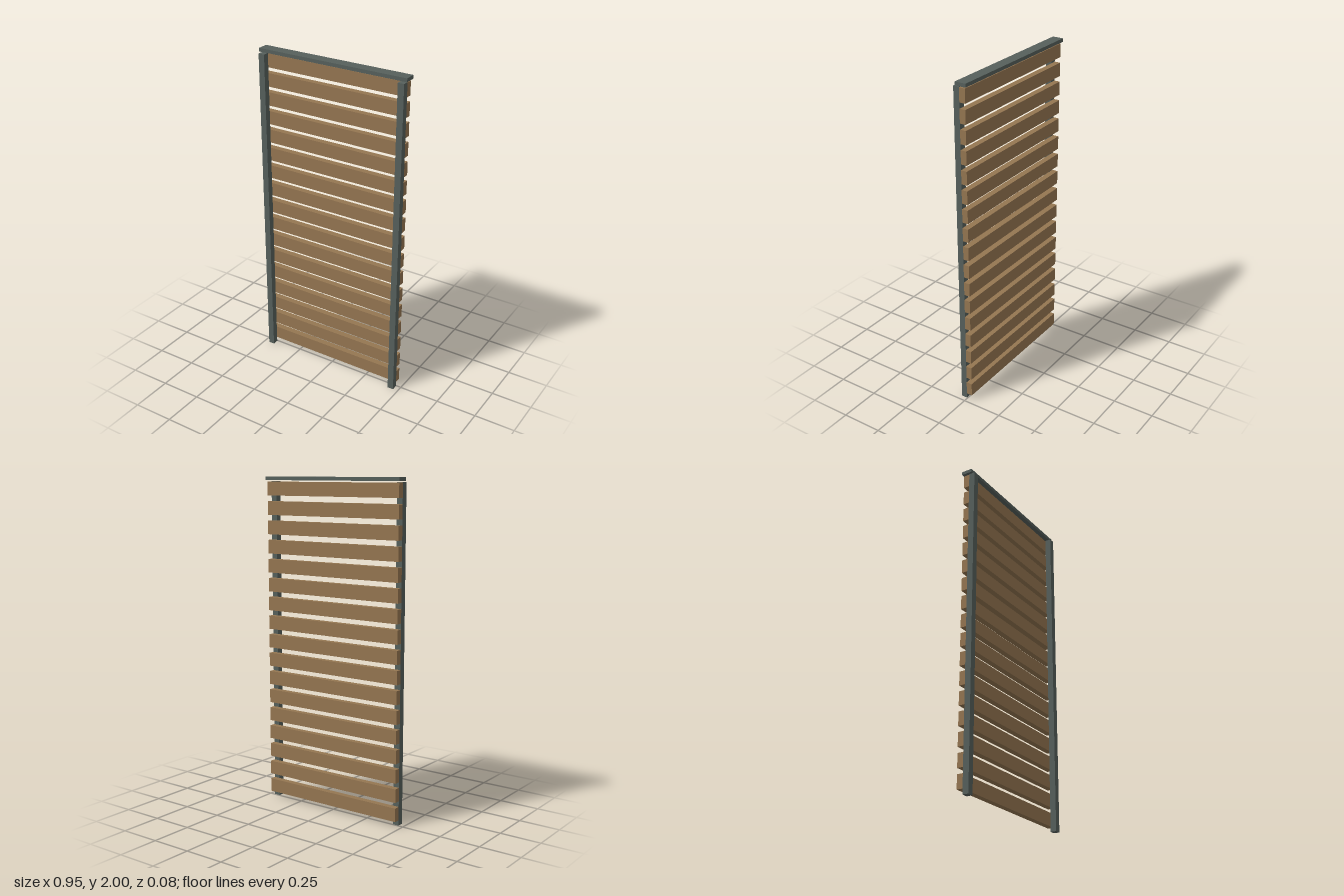
import * as THREE from 'three';

export function createModel() {
  const group = new THREE.Group();
  const wood = new THREE.MeshStandardMaterial({ color: 0x957651 });
  wood.name = 'wood';
  const metal = new THREE.MeshStandardMaterial({ color: 0x56605c });
  metal.name = 'greyMetal';

  // Box given by its lower and upper limits on each axis
  function addBox(name, material, [x0, x1], [y0, y1], [z0, z1]) {
    const mesh = new THREE.Mesh(new THREE.BoxGeometry(x1 - x0, y1 - y0, z1 - z0), material);
    mesh.position.set((x0 + x1) / 2, (y0 + y1) / 2, (z0 + z1) / 2);
    mesh.name = name;
    group.add(mesh);
  }

  // Upright posts in front of the slats
  addBox('leftPost', metal, [0.43, 0.468], [0, 1.973], [0.005, 0.042]);
  addBox('rightPost', metal, [-0.468, -0.43], [0, 1.973], [0.005, 0.042]);

  // Horizontal slats, evenly spaced
  const count = 17, pitch = 0.116, height = 0.082;
  for (let i = 0; i < count; i++) {
    const y = 0.032 + i * pitch;
    addBox(`slat${i + 1}`, wood, [-0.468, 0.468], [y, y + height], [-0.032, 0.005]);
  }

  // Capping rail along the top
  addBox('topCap', metal, [-0.476, 0.476], [1.979, 2], [-0.042, 0.025]);

  return group;
}
